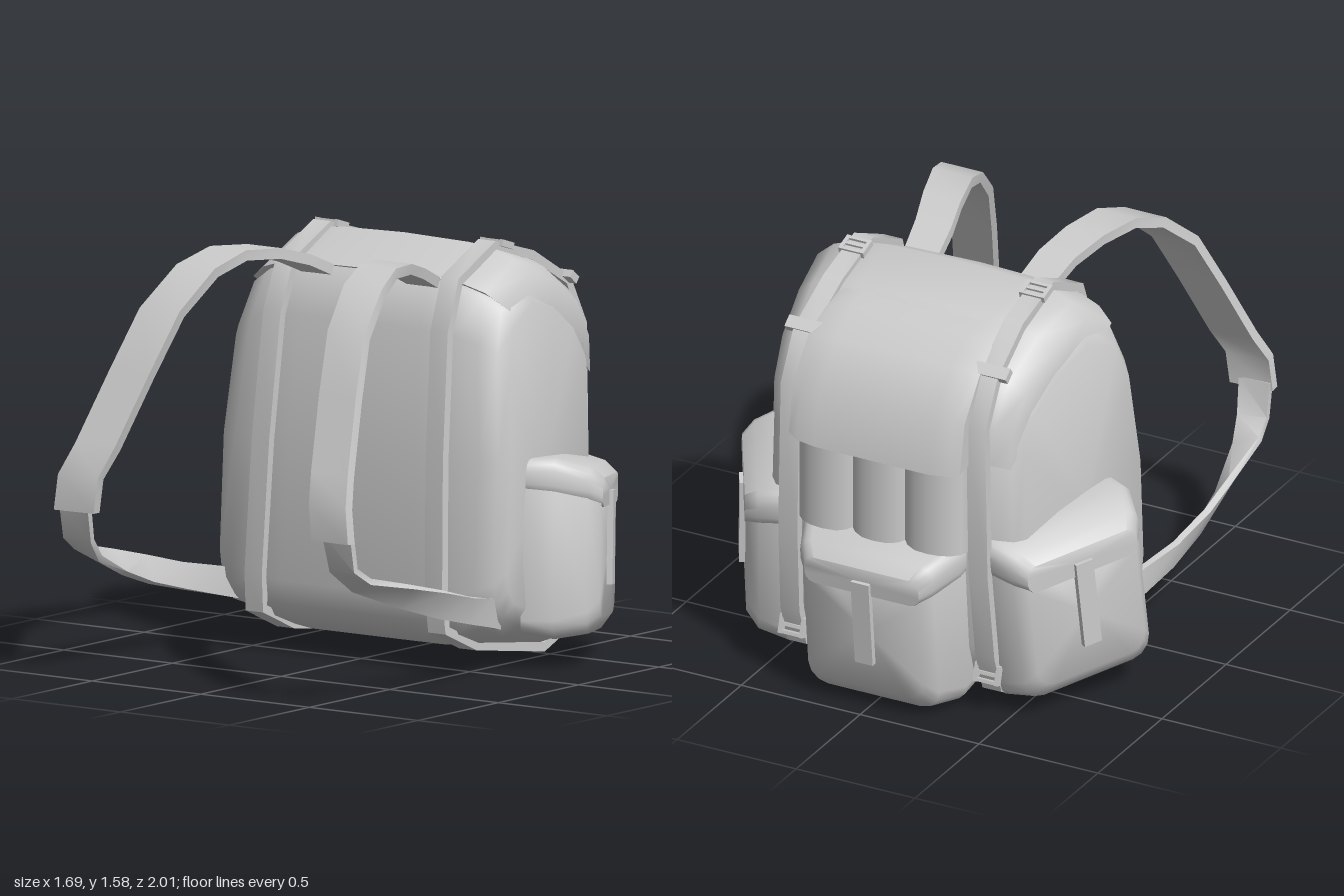
import * as THREE from 'three';
import { toCreasedNormals } from 'three/addons/utils/BufferGeometryUtils.js';

const canvas = new THREE.MeshStandardMaterial({ color: 0xcccccc });
canvas.name = 'grey canvas';
const V = (x, y, z) => new THREE.Vector3(x, y, z);

function add(parent, name, geometry, x = 0, y = 0, z = 0) {
  const mesh = new THREE.Mesh(geometry, canvas);
  mesh.name = name;
  mesh.position.set(x, y, z);
  parent.add(mesh);
  return mesh;
}

// Skin over a row of equal-sized rings, closed by a fan at each end
function loft(rings, crease) {
  const n = rings[0].length, points = rings.flat(), index = [];
  for (let r = 0; r < rings.length - 1; r++) {
    for (let i = 0; i < n; i++) {
      const a = r * n + i, b = r * n + (i + 1) % n;
      index.push(a, b, b + n, a, b + n, a + n);
    }
  }
  [0, rings.length - 1].forEach((r, end) => {
    const centre = V(0, 0, 0);
    rings[r].forEach(p => centre.addScaledVector(p, 1 / n));
    const c = points.push(centre) - 1;
    for (let i = 0; i < n; i++) {
      const a = r * n + i, b = r * n + (i + 1) % n;
      index.push(c, end ? a : b, end ? b : a);
    }
  });
  // Turn the faces outward whichever way the rings run
  let volume = 0;
  for (let i = 0; i < index.length; i += 3) {
    const [a, b, c] = [0, 1, 2].map(k => points[index[i + k]]);
    volume += a.dot(V(0, 0, 0).crossVectors(b, c));
  }
  if (volume < 0) index.reverse();
  const geometry = new THREE.BufferGeometry().setFromPoints(points);
  geometry.setIndex(index);
  return toCreasedNormals(geometry, crease);
}

// Side profile of [z, y] points, swept across x and shrinking by steps of [x, scale]
function sideLoft(profile, steps, cz, cy, taper = () => 1) {
  const all = [...steps.slice(1).reverse().map(([x, s]) => [-x, s]), ...steps];
  return loft(all.map(([x, s]) => profile.map(([z, y]) => {
    const py = cy + (y - cy) * s, pz = cz + (z - cz) * s;
    return V(x * taper(py, pz), py, pz);
  })), 1.1);
}

// Flat webbing through centres, each with its own width vector
function ribbon(path, thickness, closed = false) {
  const n = path.length;
  const rings = path.map(([c, w], i) => {
    const next = path[closed ? (i + 1) % n : Math.min(i + 1, n - 1)][0];
    const prev = path[closed ? (i + n - 1) % n : Math.max(i - 1, 0)][0];
    const normal = next.clone().sub(prev).cross(w).setLength(thickness / 2);
    return [[1, 1], [1, -1], [-1, -1], [-1, 1]].map(([a, b]) =>
      c.clone().addScaledVector(w, a / 2).addScaledVector(normal, b));
  });
  if (closed) rings.push(rings[0].map(p => p.clone()));
  return loft(rings, 0.8);
}

// Rounded rectangle ring in the xy plane
function roundedRing([z, hw, y0, y1, r]) {
  const ring = [];
  [[1, y1 - r], [-1, y1 - r], [-1, y0 + r], [1, y0 + r]].forEach(([sx, cy], q) => {
    for (let k = 0; k <= 3; k++) {
      const a = (q + k / 3) * Math.PI / 2;
      ring.push(V(sx * (hw - r) + Math.cos(a) * r, cy + Math.sin(a) * r, z));
    }
  });
  return ring;
}

function makePocket(name) {
  const pocket = new THREE.Group();
  pocket.name = name;
  pocket.rotation.order = 'YXZ';
  add(pocket, 'pocketBag', loft([[0, 0.325, 0.03, 0.66, 0.05], [0.12, 0.325, 0.01, 0.66, 0.07],
    [0.24, 0.275, 0.03, 0.63, 0.08], [0.285, 0.235, 0.09, 0.58, 0.07]].map(roundedRing), 0.9));
  // Flap over the top of the bag
  const flap = [[0, 0.33, 0.54, 0.68, 0.05], [0.12, 0.33, 0.53, 0.685, 0.05],
    [0.245, 0.28, 0.51, 0.65, 0.05], [0.292, 0.24, 0.5, 0.61, 0.04]].map(roundedRing);
  add(pocket, 'pocketFlap', loft(flap, 0.8));
  add(pocket, 'pocketTab', new THREE.BoxGeometry(0.075, 0.35, 0.025), 0, 0.38, 0.295);
  return pocket;
}

// Open frame with cross bars, lying in the xz plane
function makeBuckle(name) {
  const buckle = new THREE.Group();
  buckle.name = name;
  for (const s of [-1, 1]) {
    add(buckle, 'buckleSide', new THREE.BoxGeometry(0.015, 0.025, 0.075), s * 0.045, 0, 0);
  }
  for (const z of [-0.03, 0, 0.03]) {
    add(buckle, 'buckleBar', new THREE.BoxGeometry(0.1, 0.022, 0.013), 0, 0, z);
  }
  return buckle;
}

export function createModel() {
  const backpack = new THREE.Group();
  backpack.name = 'backpack';

  // Main bag, narrowing toward the top and the rear
  const bagProfile = [[0.075, 0.19], [0.09, 0.28], [0.06, 0.8], [0.01, 1.27], [-0.06, 1.45],
    [-0.27, 1.54], [-0.5, 1.47], [-0.69, 1.34], [-0.79, 1.18], [-0.79, 0.6], [-0.76, 0.25],
    [-0.71, 0.1], [-0.52, 0.005], [-0.1, 0.075], [0.03, 0.125]];
  const bagSteps = [[0, 1], [0.3, 1], [0.45, 0.975], [0.56, 0.925], [0.63, 0.86], [0.66, 0.77]];
  add(backpack, 'mainBag', sideLoft(bagProfile, bagSteps, -0.36, 0.75,
    (y, z) => (1 - 0.28 * Math.max(0, y - 1)) * (1 - 0.38 * Math.max(0, -0.2 - z))));

  // Lid and its hanging rear flap
  const lidProfile = [[-0.06, 1.455], [-0.27, 1.562], [-0.5, 1.5], [-0.7, 1.38], [-0.8, 1.22],
    [-0.81, 1.06], [-0.74, 1.2], [-0.6, 1.3], [-0.32, 1.39], [-0.12, 1.42]];
  add(backpack, 'lid', sideLoft(lidProfile,
    [[0, 1.01], [0.3, 1], [0.42, 0.98], [0.51, 0.935], [0.575, 0.86]], -0.38, 0.85,
    (y, z) => 1 - 0.24 * Math.max(0, -0.2 - z)));
  const flapProfile = [[-0.48, 1.5], [-0.61, 1.465], [-0.74, 1.395], [-0.87, 1.23], [-0.91, 1.02],
    [-0.85, 1.02], [-0.74, 1.08], [-0.68, 1.3]];
  add(backpack, 'lidRearFlap', sideLoft(flapProfile,
    [[0, 1], [0.24, 1], [0.32, 0.97], [0.36, 0.9]], -0.7, 1.25));

  // Padded rolls between the lid and the rear pocket
  for (const x of [-0.22, 0, 0.22]) {
    const roll = add(backpack, 'paddedRoll',
      new THREE.CylinderGeometry(0.13, 0.13, 0.4, 16), x, 0.88, -0.81);
    roll.scale.z = 0.65;
  }

  // Rear pocket
  const rear = makePocket('rearPocket');
  rear.rotation.set(0.1, Math.PI, 0);
  rear.position.set(0, 0.03, -0.645);
  backpack.add(rear);

  // Webbing loop rows: z, y, x
  const loopPath = [[0.085, 0.165, 0.42], [0.095, 0.3, 0.415], [0.07, 0.8, 0.4],
    [0.02, 1.27, 0.385], [-0.05, 1.455, 0.38], [-0.27, 1.56, 0.38], [-0.5, 1.495, 0.38],
    [-0.71, 1.375, 0.39], [-0.805, 1.2, 0.39], [-0.805, 0.6, 0.4], [-0.77, 0.25, 0.41],
    [-0.72, 0.1, 0.41], [-0.52, 0.025, 0.42], [-0.1, 0.085, 0.42]];
  // Shoulder strap rows: centre x, y, z
  const upperPath = [[0.24, 1.43, -0.08], [0.26, 1.49, 0.06], [0.3, 1.53, 0.2], [0.345, 1.54, 0.36],
    [0.385, 1.49, 0.5], [0.43, 1.35, 0.66], [0.48, 1.13, 0.78], [0.54, 0.87, 0.91],
    [0.575, 0.76, 0.97], [0.59, 0.63, 0.975]];
  // Lower webbing rows: centre x, y, z, then width vector
  const lowerPath = [[0.605, 0.66, 0.965, 0.13, 0, 0], [0.61, 0.52, 0.935, 0.12, 0.01, 0.01],
    [0.63, 0.455, 0.85, 0.1, 0.04, 0.02], [0.66, 0.385, 0.62, 0.06, 0.08, 0],
    [0.675, 0.33, 0.42, 0.04, 0.1, 0], [0.66, 0.28, 0.22, 0.02, 0.1, 0],
    [0.62, 0.24, 0.03, 0, 0.11, 0], [0.59, 0.22, -0.05, 0, 0.11, 0]];

  for (const s of [1, -1]) {
    const side = s > 0 ? 'left' : 'right';

    // Side pocket, turned toward the rear corner
    const pocket = makePocket(side + 'SidePocket');
    pocket.rotation.set(0, s * 2.09, -s * 0.11);
    pocket.position.set(s * 0.49, 0.08, -0.39);
    backpack.add(pocket);

    // Webbing loop around the bag
    add(backpack, side + 'CompressionStrap',
      ribbon(loopPath.map(([z, y, x]) => [V(s * x, y, z), V(0.08, 0, 0)]), 0.035, true));

    // Buckles on the webbing
    const topBuckle = makeBuckle(side + 'TopBuckle');
    topBuckle.position.set(s * 0.38, 1.558, -0.33);
    topBuckle.rotation.x = -0.3;
    const lowBuckle = makeBuckle(side + 'LowerBuckle');
    lowBuckle.position.set(s * 0.41, 0.17, -0.765);
    lowBuckle.rotation.x = -1.3;
    backpack.add(topBuckle, lowBuckle);
    const clip = add(backpack, side + 'LidClip',
      new THREE.BoxGeometry(0.14, 0.03, 0.05), s * 0.395, 1.39, -0.7);
    clip.rotation.x = -0.65;

    // Shoulder strap and its lower webbing
    add(backpack, side + 'ShoulderStrap',
      ribbon(upperPath.map(([x, y, z], i) =>
        [V(s * x, y, z), V(s * (0.14 + Math.min(i, 4) * 0.009), 0, i > 4 ? 0.01 : 0)]), 0.04));
    add(backpack, side + 'LowerWebbing',
      ribbon(lowerPath.map(([x, y, z, a, b, c]) => [V(s * x, y, z), V(s * a, b, c)]), 0.025));
  }
  return backpack;
}
